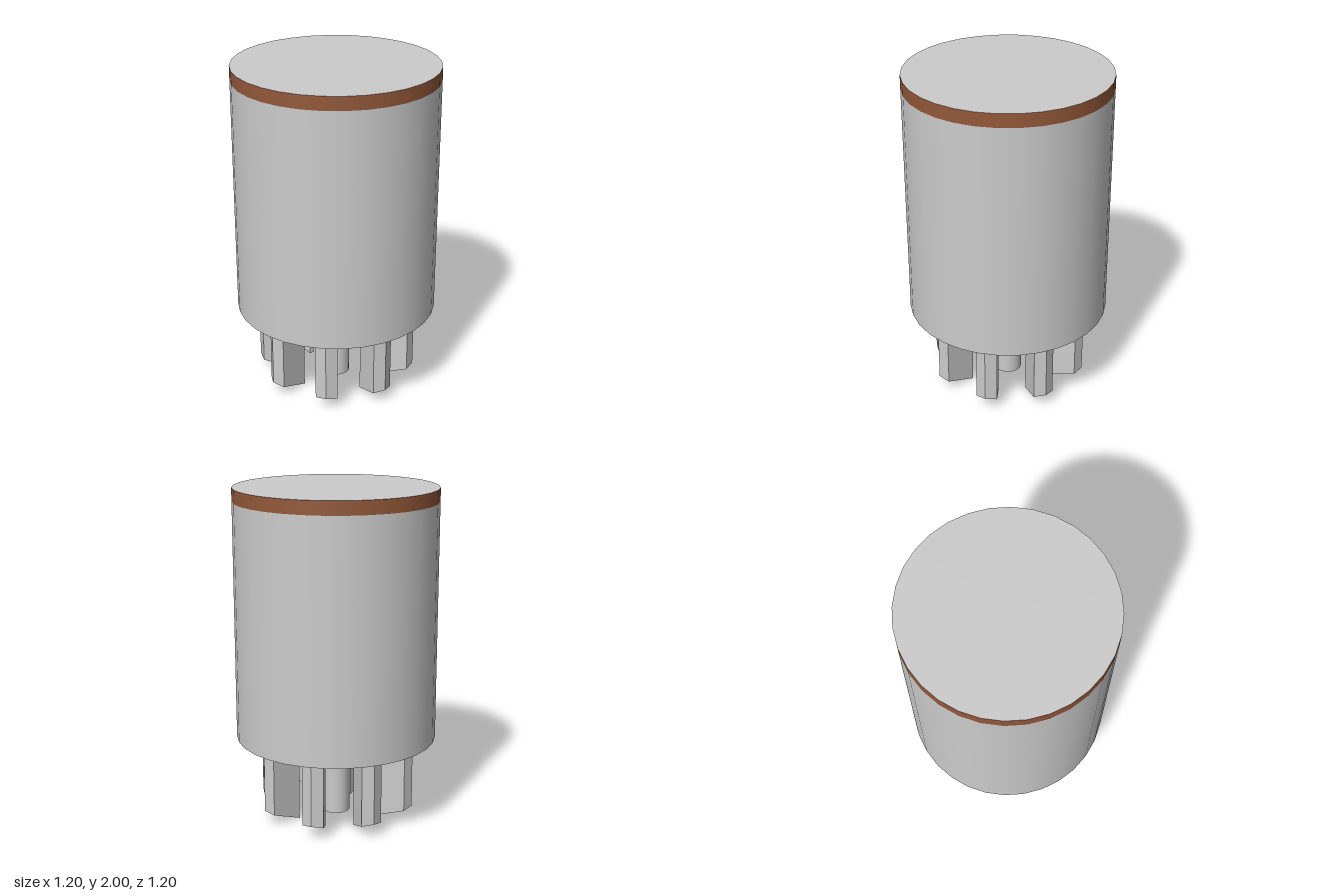
import * as THREE from 'three';

const grey = new THREE.MeshStandardMaterial({ color: 0xcccccc });
const brown = new THREE.MeshStandardMaterial({ color: 0x935839 });

const SIDES = 32, RADIUS = 0.6;

function add(parent, name, geometry, material, y = 0) {
  const mesh = new THREE.Mesh(geometry, material);
  mesh.name = name;
  mesh.position.y = y;
  parent.add(mesh);
  return mesh;
}

// Radial blade: ridged outer edge, tapering inward, with a sloped bottom
function finGeometry() {
  const outer = 0.48, inner = 0.257, rise = 0.085;
  const outline = [[0, outer], [0.065, 0.448], [0.0155, inner], [-0.0155, inner], [-0.065, 0.448]];
  const shape = new THREE.Shape(outline.map(([x, r]) => new THREE.Vector2(x, -r)));
  const geo = new THREE.ExtrudeGeometry(shape, { depth: 0.497, bevelEnabled: false });
  geo.rotateX(-Math.PI / 2);
  const p = geo.attributes.position;
  for (let i = 0; i < p.count; i++) {
    if (p.getY(i) < 0.1) p.setY(i, rise * (p.getZ(i) - inner) / (outer - inner));
    else p.setY(i, 0.497 - 0.11 * (outer - p.getZ(i)));
  }
  geo.computeVertexNormals();
  return geo;
}

export function createModel() {
  const model = new THREE.Group();
  model.name = 'finnedCylinder';

  // Main drum, coloured rim and lid
  add(model, 'drum', new THREE.CylinderGeometry(RADIUS, RADIUS, 1.42, SIDES, 1, true), grey, 1.21);
  add(model, 'rim', new THREE.CylinderGeometry(RADIUS, RADIUS, 0.08, SIDES, 1, true), brown, 1.96);
  const lid = add(model, 'lid', new THREE.CircleGeometry(RADIUS, SIDES), grey, 2);
  lid.rotation.x = -Math.PI / 2;

  // Shallow funnel-shaped underside
  const profile = [[0, 0.32], [0.08, 0.32], [0.27, 0.395], [0.47, 0.47], [RADIUS, 0.5]]
    .map(([r, y]) => new THREE.Vector2(r, y));
  add(model, 'underside', new THREE.LatheGeometry(profile, SIDES), grey);

  // Central pin with a coloured tip
  add(model, 'centrePin', new THREE.CylinderGeometry(0.083, 0.083, 0.33, 16), [grey, grey, brown], 0.175);

  // Ring of eight fins
  const fin = finGeometry();
  for (let i = 0; i < 8; i++) {
    const mesh = add(model, 'fin', fin, [brown, grey]);
    mesh.rotation.y = Math.PI / 16 + i * Math.PI / 4;
  }
  return model;
}
